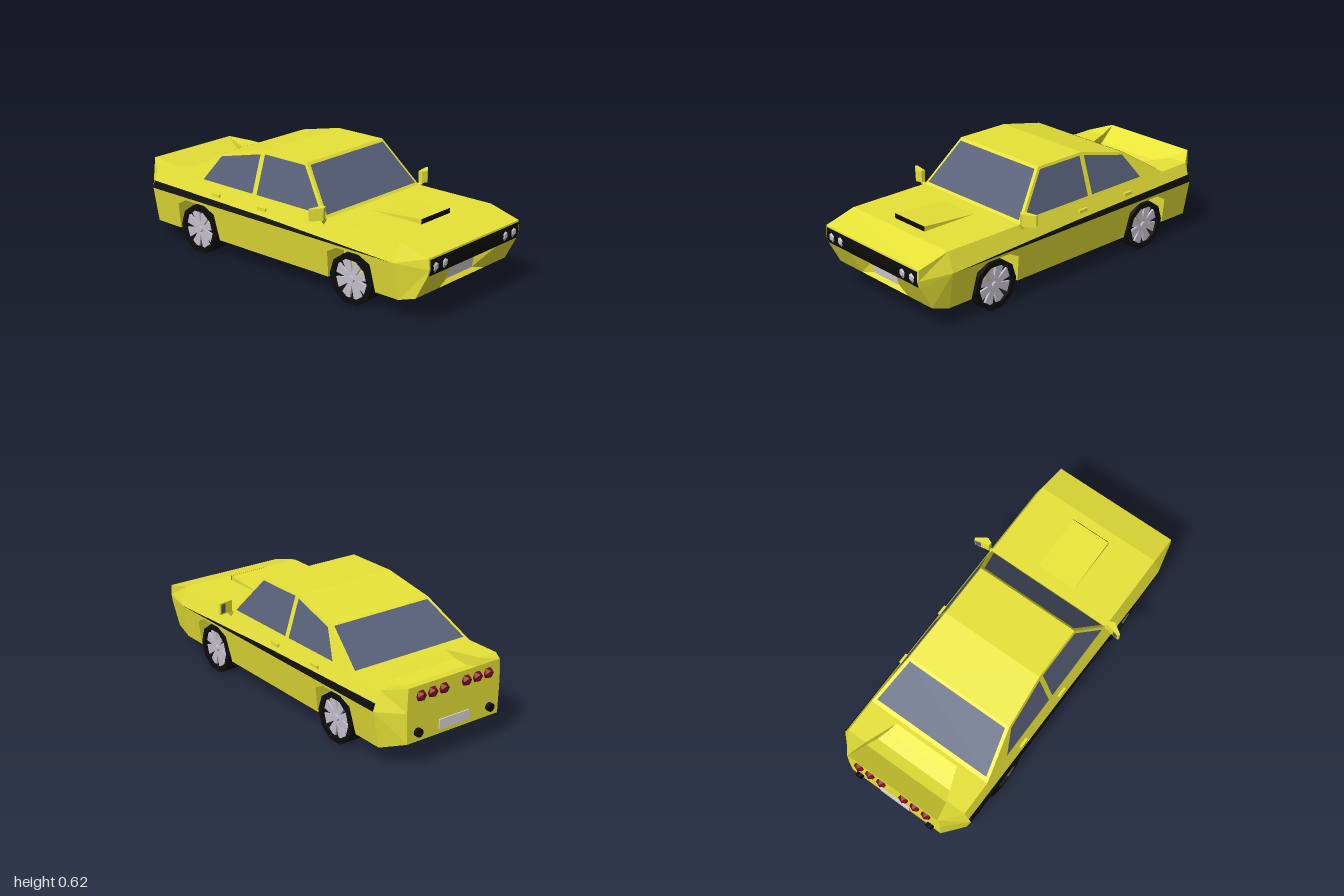
import * as THREE from 'three';
import { ConvexGeometry } from 'three/addons/geometries/ConvexGeometry.js';

const mat = (color) => new THREE.MeshStandardMaterial({ color, flatShading: true, side: THREE.DoubleSide });
const YELLOW = mat(0xe8e337), BLACK = mat(0x0c0c0c), GLASS = mat(0x59617a), SILVER = mat(0xc4bfcc),
  RED = mat(0x7a0a1c), PLATE = mat(0xd9d4dc);
const flip = (p) => [-p[0], p[1], p[2]];

export function createModel() {
  const car = new THREE.Group();
  car.name = 'car';

  const add = (name, geo, material, x = 0, y = 0, z = 0, parent = car) => {
    const m = new THREE.Mesh(geo, material);
    m.name = name;
    m.position.set(x, y, z);
    parent.add(m);
    return m;
  };
  // flat convex polygons, optionally repeated on the other side
  const panel = (name, material, polys, mirror = true) => {
    const v = [];
    const all = mirror ? polys.concat(polys.map((p) => p.map(flip).reverse())) : polys;
    for (const p of all) for (let i = 1; i < p.length - 1; i++) v.push(...p[0], ...p[i], ...p[i + 1]);
    const g = new THREE.BufferGeometry();
    g.setAttribute('position', new THREE.Float32BufferAttribute(v, 3));
    g.computeVertexNormals();
    return add(name, g, material);
  };
  // polygon spanning the width: rows of [halfWidth, y, z]
  const span = (a, b) => [flip(a), a, b, flip(b)];
  const hull = (name, material, pts) =>
    add(name, new ConvexGeometry(pts.map((p) => new THREE.Vector3(...p))), material);

  // lower body with wheel arches, narrowing downward
  const wheelZ = [0.53, -0.535];
  const shape = new THREE.Shape();
  shape.moveTo(-0.86, 0.3);
  shape.lineTo(0.82, 0.3);
  shape.lineTo(0.82, 0.105);
  for (const c of wheelZ) {
    for (const [dz, y] of [[0.15, 0.105], [0.135, 0.25], [0.07, 0.285], [-0.07, 0.285], [-0.135, 0.25], [-0.15, 0.105]])
      shape.lineTo(c + dz, y);
  }
  shape.lineTo(-0.86, 0.105);
  const lower = new THREE.ExtrudeGeometry(shape, { depth: 0.8, bevelEnabled: false });
  lower.rotateY(-Math.PI / 2);
  lower.translate(0.4, 0, 0);
  const pos = lower.attributes.position;
  for (let i = 0; i < pos.count; i++)
    pos.setX(i, Math.sign(pos.getX(i)) * (0.4 - (0.3 - pos.getY(i)) * 0.18));
  lower.computeVertexNormals();
  add('lowerBody', lower, YELLOW);
  add('floorPan', new THREE.BoxGeometry(0.52, 0.19, 1.66), YELLOW, 0, 0.202, -0.02);

  // shoulders and deck
  panel('shoulders', YELLOW, [
    [[0.4, 0.3, 0.82], [0.365, 0.4, 0.82], [0.365, 0.4, -0.86], [0.4, 0.3, -0.86]],
  ]);
  panel('deck', YELLOW, [span([0.365, 0.4, 0.82], [0.365, 0.4, -0.69])], false);

  // nose with number plate recess
  panel('noseSides', YELLOW, [
    [[0.365, 0.4, 0.82], [0.4, 0.3, 0.82], [0.36, 0.3, 0.997], [0.36, 0.355, 0.992]],
    [[0.4, 0.3, 0.82], [0.365, 0.105, 0.82], [0.36, 0.138, 0.92], [0.36, 0.26, 0.985], [0.36, 0.3, 0.997]],
    [[0.18, 0.26, 0.985], [0.36, 0.26, 0.985], [0.36, 0.138, 0.92], [0.18, 0.138, 0.92]],
    [[0.18, 0.26, 0.985], [0.18, 0.138, 0.92], [0.1, 0.16, 0.905], [0.1, 0.22, 0.915]],
  ]);
  panel('noseFront', YELLOW, [
    span([0.365, 0.4, 0.82], [0.36, 0.355, 0.992]),
    span([0.36, 0.355, 0.992], [0.36, 0.3, 0.997]),
    span([0.36, 0.3, 0.997], [0.36, 0.26, 0.985]),
    span([0.18, 0.26, 0.985], [0.1, 0.22, 0.915]),
    span([0.1, 0.16, 0.905], [0.18, 0.138, 0.92]),
    span([0.36, 0.138, 0.92], [0.365, 0.105, 0.82]),
  ], false);
  panel('frontPlate', PLATE, [span([0.1, 0.22, 0.916], [0.1, 0.16, 0.906])], false);
  panel('grille', BLACK, [
    span([0.353, 0.347, 0.995], [0.353, 0.3, 0.999]),
    span([0.353, 0.3, 0.999], [0.353, 0.264, 0.989]),
  ], false);

  // tail, with a scooped hollow ahead of the rear lip
  const T = { a: [0.365, 0.4, -0.86], b: [0.4, 0.3, -0.86], c: [0.365, 0.105, -0.86],
    d: [0.285, 0.425, -0.97], e: [0.29, 0.3, -0.97], f: [0.285, 0.14, -0.97] };
  panel('tailSides', YELLOW, [
    [T.a, T.b, T.e, T.d], [T.b, T.c, T.f, T.e],
    [[0.19, 0.4, -0.69], [0.365, 0.4, -0.69], T.a, [0.255, 0.4, -0.86]],
    [[0.255, 0.4, -0.86], T.a, T.d, [0.28, 0.425, -0.97]],
  ]);
  panel('tailBack', YELLOW, [span(T.d, T.e), span(T.e, T.f), span(T.f, T.c)], false);
  const rim = [[0.19, 0.4, -0.69], [0.209, 0.4, -0.74], [0.232, 0.4, -0.8], [0.255, 0.4, -0.86], [0.28, 0.425, -0.97]];
  const floor = [0.4, 0.365, 0.345, 0.355, 0.424].map((y, i) => [rim[i][0], y, rim[i][2]]);
  for (let i = 0; i < 4; i++) {
    panel('hollowFloor', YELLOW, [span(floor[i], floor[i + 1])], false);
    panel('hollowSides', YELLOW, [[rim[i], rim[i + 1], floor[i + 1], floor[i]]]);
  }

  // tapering side stripe
  panel('sideStripe', BLACK, [
    [[0.403, 0.3, 0.8], [0.394, 0.325, 0], [0.389, 0.34, -0.86], [0.403, 0.302, -0.86]],
  ]);

  // cabin: side profile leans inward with height
  const side = (pts, off = 0) => pts.map(([z, y]) => [0.365 - 0.326 * (y - 0.4) + off, y, z]);
  const profile = side([[0.36, 0.4], [0.17, 0.63], [-0.13, 0.63], [-0.41, 0.565], [-0.67, 0.4]]);
  panel('cabinSides', YELLOW, [profile]);
  panel('cabinTop', YELLOW, profile.slice(1).map((p, i) => span(profile[i], p)), false);
  panel('sideWindows', GLASS, [
    side([[0.33, 0.417], [0.165, 0.617], [-0.11, 0.617], [-0.11, 0.417]], 0.003),
    side([[-0.14, 0.417], [-0.14, 0.612], [-0.405, 0.552], [-0.5, 0.417]], 0.003),
  ]);
  panel('windscreen', GLASS, [span([0.345, 0.414, 0.352], [0.278, 0.618, 0.184])], false);
  panel('rearWindow', GLASS, [span([0.343, 0.416, -0.65], [0.295, 0.559, -0.425])], false);

  // bonnet scoop
  const scoop = [[0.113, 0.398, 0.752], [0.113, 0.426, 0.752], [0.113, 0.4, 0.44], [0.113, 0.398, 0.44]];
  hull('bonnetScoop', YELLOW, scoop.concat(scoop.map(flip)));
  panel('scoopMouth', BLACK, [span([0.113, 0.4, 0.754], [0.113, 0.426, 0.754])], false);

  // underside bulge at the back
  hull('underTank', YELLOW, [[-0.21, 0.106, -0.5], [-0.21, 0.106, -0.86], [0.19, 0.106, -0.5], [0.19, 0.106, -0.86],
    [-0.18, 0.045, -0.67], [0, 0.045, -0.67], [-0.18, 0.07, -0.52]]);

  // mirrors and door handles
  for (const s of [1, -1]) {
    const m = (pts) => pts.map(([x, y, z]) => [s * x, y, z]);
    const head = [];
    for (const y of [0.408, 0.47])
      head.push([0.375, y, 0.35], [0.375, y, 0.372], [0.405, y, 0.385], [0.462, y, 0.345], [0.457, y, 0.335], [0.4, y, 0.35]);
    hull('mirrorHead', YELLOW, m(head));
    hull('mirrorArm', YELLOW, m([[0.362, 0.4, 0.35], [0.362, 0.4, 0.37], [0.376, 0.375, 0.36],
      [0.385, 0.412, 0.355], [0.41, 0.412, 0.365], [0.39, 0.412, 0.375]]));
    panel('mirrorGlass', GLASS, [m([[0.402, 0.415, 0.347], [0.452, 0.415, 0.333], [0.452, 0.464, 0.333], [0.402, 0.464, 0.347]])], false);
    for (const z of [-0.053, -0.385])
      add('doorHandle', new THREE.BoxGeometry(0.018, 0.017, 0.055), YELLOW, s * 0.381, 0.36, z);
  }

  // lamps, exhausts and rear plate
  for (const s of [1, -1]) {
    for (const x of [0.242, 0.312]) {
      const lamp = new THREE.CylinderGeometry(0.014, 0.032, 0.012, 6);
      lamp.rotateX(Math.PI / 2);
      add('headlight', lamp, SILVER, s * x, 0.305, 0.997);
    }
    for (const x of [0.07, 0.14, 0.21])
      add('tailLight', new THREE.IcosahedronGeometry(0.031, 0), RED, s * x, 0.372, -0.968);
    const pipe = new THREE.CylinderGeometry(0.022, 0.022, 0.04, 12);
    pipe.rotateX(Math.PI / 2);
    add('exhaust', pipe, BLACK, s * 0.225, 0.19, -0.97);
  }
  add('rearPlate', new THREE.BoxGeometry(0.185, 0.05, 0.012), PLATE, 0, 0.19, -0.971);

  // wheels: hollow ten-sided tyre with eight wedge spokes
  const tyre = new THREE.LatheGeometry(
    [[0.105, -0.052], [0.133, -0.052], [0.133, 0.052], [0.105, 0.052], [0.105, -0.052]].map((p) => new THREE.Vector2(...p)), 10);
  tyre.rotateZ(-Math.PI / 2);
  const wedge = new THREE.Shape([[-0.009, 0.01], [0.009, 0.01], [0.028, 0.104], [-0.028, 0.104]].map((p) => new THREE.Vector2(...p)));
  const spoke = new THREE.ExtrudeGeometry(wedge, { depth: 0.012, bevelEnabled: false });
  spoke.rotateY(Math.PI / 2);
  const hub = new THREE.CylinderGeometry(0.016, 0.022, 0.025, 8);
  hub.rotateZ(-Math.PI / 2);
  for (const s of [1, -1]) for (const z of wheelZ) {
    const wheel = new THREE.Group();
    wheel.name = 'wheel';
    wheel.position.set(s * 0.322, 0.132, z);
    wheel.rotation.y = s > 0 ? 0 : Math.PI;
    add('tyre', tyre, BLACK, 0, 0, 0, wheel);
    add('hub', hub, SILVER, 0.036, 0, 0, wheel);
    for (let i = 0; i < 8; i++)
      add('spoke', spoke, SILVER, 0.028, 0, 0, wheel).rotation.x = (i + 0.5) * Math.PI / 4;
    car.add(wheel);
  }
  return car;
}
